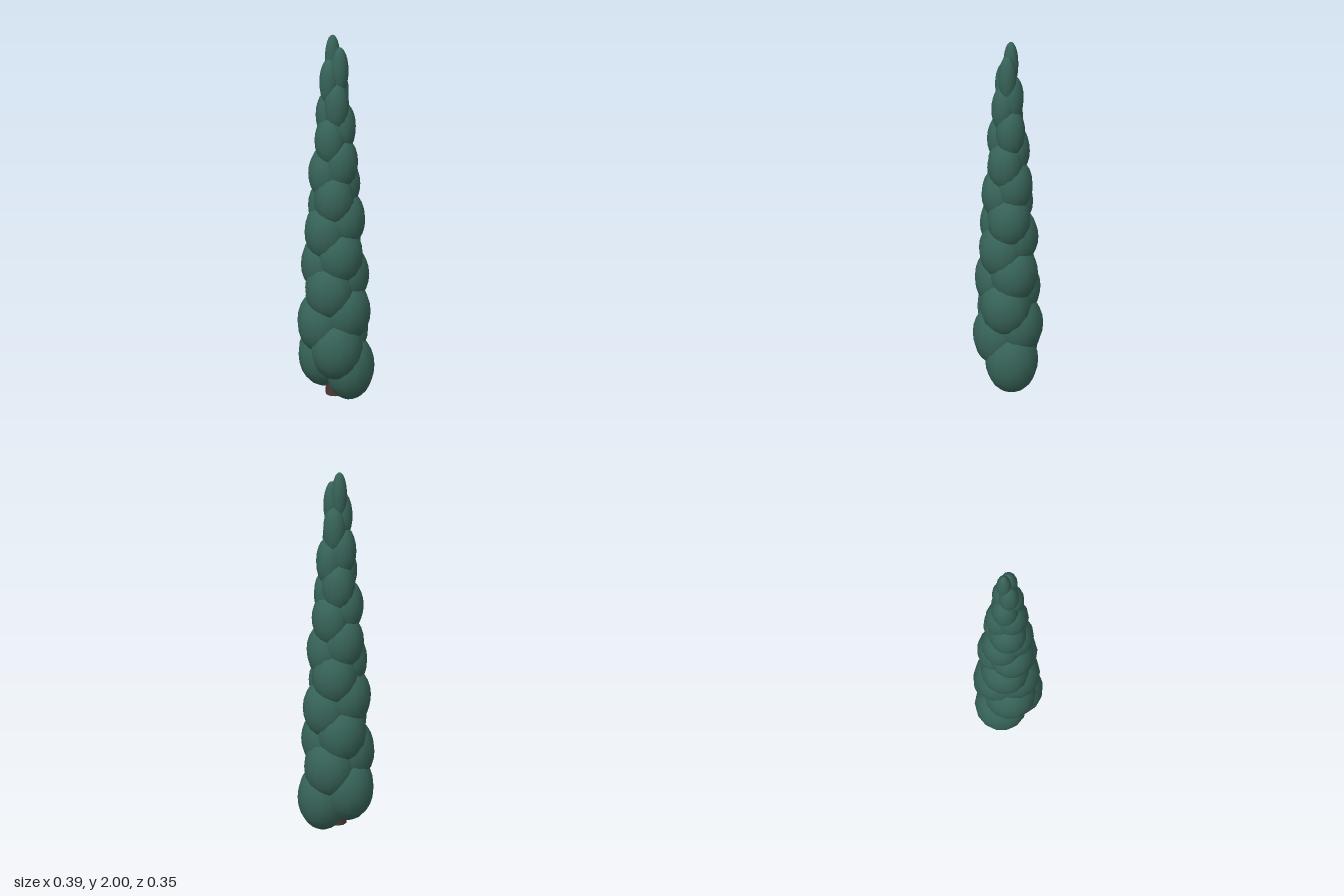
import * as THREE from 'three';

const COUNT = 28;
const GOLDEN_ANGLE = THREE.MathUtils.degToRad(137.5);

export function createModel() {
  const tree = new THREE.Group();
  tree.name = 'cypressTree';
  const foliage = new THREE.MeshStandardMaterial({ color: 0x376358 });
  foliage.name = 'foliageGreen';
  const bark = new THREE.MeshStandardMaterial({ color: 0x4e3833 });
  bark.name = 'barkBrown';

  // Slim trunk, almost hidden by the foliage
  const trunk = new THREE.Mesh(new THREE.CylinderGeometry(0.015, 0.048, 1.67, 10), bark);
  trunk.name = 'trunk';
  trunk.position.set(0, 0.865, 0);
  tree.add(trunk);

  // Upright leaf clumps climbing in a golden-angle spiral, shrinking towards the tip
  const ball = new THREE.SphereGeometry(1, 14, 12);
  const clumps = new THREE.Group();
  clumps.name = 'foliage';
  for (let i = 0; i < COUNT; i++) {
    const t = i / (COUNT - 1);
    const bottom = 1.745 * t;
    const top = 0.36 + 1.64 * t;
    const radius = 0.04 + 0.096 * (1 - Math.pow(t, 1.9));
    const angle = i * GOLDEN_ANGLE;
    const clump = new THREE.Mesh(ball, foliage);
    clump.name = `leafClump${i + 1}`;
    // Local x points outward, local z runs around the trunk
    clump.scale.set(radius * 0.96, (top - bottom) / 2, radius);
    clump.rotation.y = angle;
    // The crown is a little wider than deep
    clump.position.set(
      Math.cos(angle) * (0.073 - 0.047 * t),
      (top + bottom) / 2,
      -Math.sin(angle) * (0.056 - 0.036 * t),
    );
    clumps.add(clump);
  }
  tree.add(clumps);
  return tree;
}
